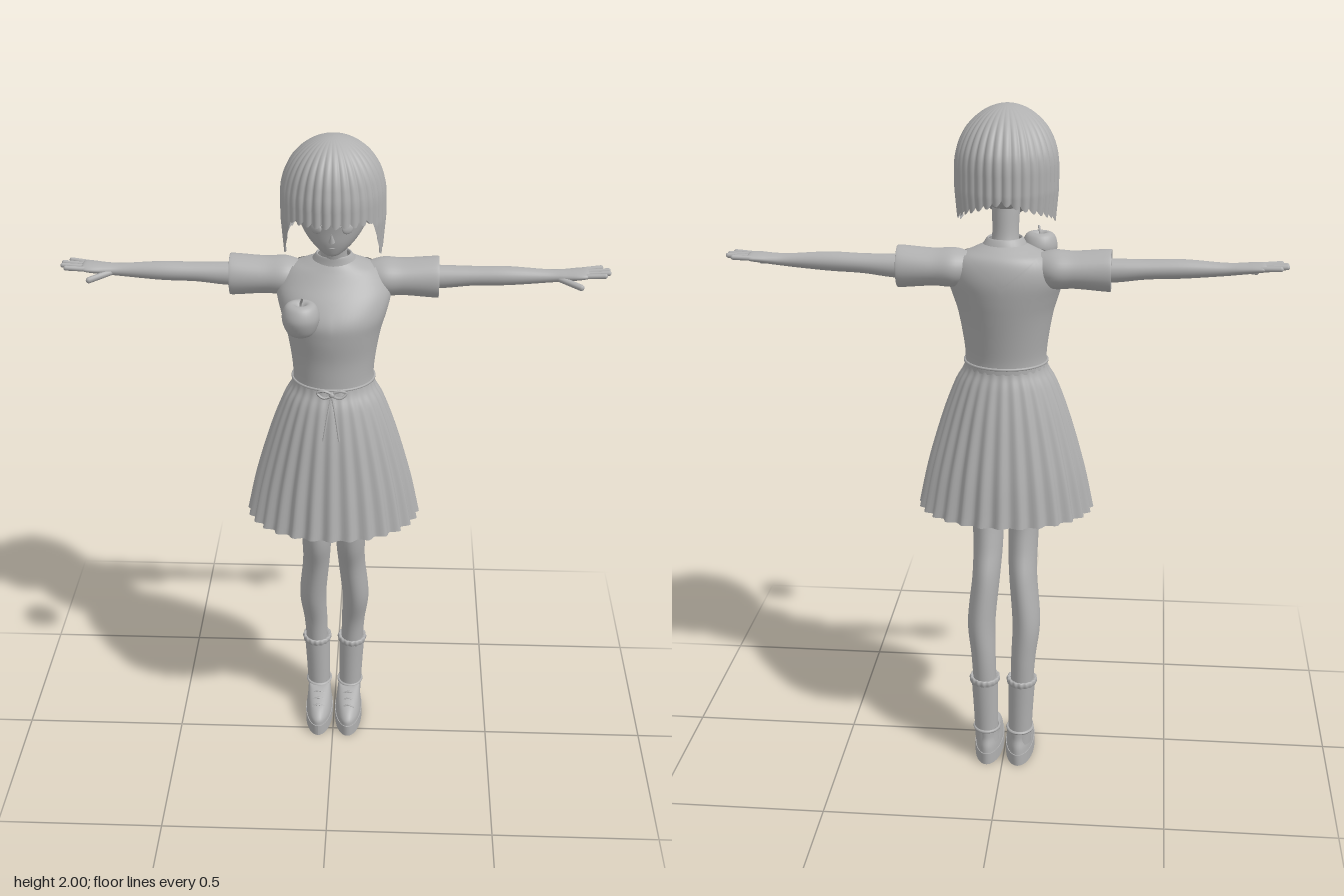
import * as THREE from 'three';

const grey = new THREE.MeshStandardMaterial({ color: 0xb0b0b0, side: THREE.DoubleSide });
grey.name = 'clay grey';
const V = (x, y, z) => new THREE.Vector3(x, y, z);

// Closed-around surface from a point rule: angle 0 faces +z, v runs from bottom to top.
function surface(fn, nu, nv) {
  const pos = [], idx = [];
  for (let j = 0; j <= nv; j++)
    for (let i = 0; i < nu; i++) pos.push(...fn((i / nu) * Math.PI * 2, j / nv));
  for (let j = 0; j < nv; j++)
    for (let i = 0; i < nu; i++) {
      const a = j * nu + i, b = j * nu + ((i + 1) % nu);
      idx.push(a, b, b + nu, a, b + nu, a + nu);
    }
  const g = new THREE.BufferGeometry();
  g.setAttribute('position', new THREE.Float32BufferAttribute(pos, 3));
  g.setIndex(idx);
  g.computeVertexNormals();
  return g;
}

// Smooth sampling of rows [y, cx, cz, rx, rz]
function sampler(rows) {
  const a = new THREE.CatmullRomCurve3(rows.map(r => V(r[0], r[1], r[2])), false, 'catmullrom', 0.5);
  const b = new THREE.CatmullRomCurve3(rows.map(r => V(r[3], r[4], 0)), false, 'catmullrom', 0.5);
  return v => {
    const p = a.getPoint(v), r = b.getPoint(v);
    return [p.x, p.y, p.z, Math.max(r.x, 0.0005), Math.max(r.y, 0.0005)];
  };
}

function loft(rows, nu = 32, nv = 32, scale = () => 1) {
  const at = sampler(rows);
  return surface((t, v) => {
    const [y, cx, cz, rx, rz] = at(v), s = scale(t, v);
    return [cx + rx * s * Math.sin(t), y, cz + rz * s * Math.cos(t)];
  }, nu, nv);
}

// Loft along +x; rows are [x, y, z, ry, rz]
const loftX = (rows, nu, nv) => loft(rows.map(r => [r[0], -r[1], r[2], r[3], r[4]]), nu, nv).rotateZ(-Math.PI / 2);

function mirror(geo) {
  const g = geo.clone().scale(-1, 1, 1), ix = g.index;
  for (let i = 0; i < ix.count; i += 3) {
    const b = ix.getX(i + 1);
    ix.setX(i + 1, ix.getX(i + 2));
    ix.setX(i + 2, b);
  }
  g.computeVertexNormals();
  return g;
}

// Capsule between two points
function bar(a, b, r) {
  const d = b.clone().sub(a), m = a.clone().add(b).multiplyScalar(0.5);
  const q = new THREE.Quaternion().setFromUnitVectors(V(0, 1, 0), d.clone().normalize());
  return new THREE.CapsuleGeometry(r, d.length(), 4, 10).applyQuaternion(q).translate(m.x, m.y, m.z);
}

const cord = (pts, r, closed = false) =>
  new THREE.TubeGeometry(new THREE.CatmullRomCurve3(pts, closed), closed ? 64 : 16, r, 6, closed);

export function createModel() {
  const model = new THREE.Group();
  const add = (name, g) => {
    const m = new THREE.Mesh(g, grey);
    m.name = name;
    model.add(m);
  };
  const pair = (name, g) => {
    add('left ' + name, g);
    add('right ' + name, mirror(g));
  };

  // Head, neck and face
  add('head', loft([[1.672, 0, 0.045, 0.001, 0.001], [1.676, 0, 0.042, 0.018, 0.018], [1.69, 0, 0.03, 0.04, 0.038],
    [1.715, 0, 0.01, 0.067, 0.066], [1.75, 0, -0.008, 0.09, 0.09], [1.8, 0, -0.02, 0.104, 0.112],
    [1.87, 0, -0.02, 0.106, 0.118], [1.94, 0, -0.02, 0.07, 0.08], [1.965, 0, -0.02, 0.001, 0.001]], 40, 48));
  add('neck', loft([[1.53, 0, -0.08, 0.06, 0.05], [1.59, 0, -0.075, 0.047, 0.044], [1.64, 0, -0.06, 0.038, 0.04],
    [1.72, 0, -0.045, 0.04, 0.045]], 28, 20));
  add('nose', new THREE.ConeGeometry(0.009, 0.03, 12).rotateX(0.35).translate(0, 1.738, 0.084));
  add('mouth', cord([V(-0.016, 1.706, 0.068), V(0, 1.703, 0.073), V(0.016, 1.706, 0.068)], 0.002));
  pair('eyelid', cord([V(0.022, 1.768, 0.083), V(0.042, 1.78, 0.078), V(0.066, 1.768, 0.064)], 0.003));
  pair('eye', new THREE.SphereGeometry(1, 20, 12).scale(0.017, 0.016, 0.006).rotateY(0.5).translate(0.043, 1.762, 0.074));
  pair('ear', new THREE.SphereGeometry(1, 16, 12).scale(0.012, 0.03, 0.02).translate(0.1, 1.77, -0.03));

  // Bob hair: ridged dome with a stepped lower edge
  const locks = 34;
  const hairEdge = t => {
    const a = Math.abs(THREE.MathUtils.radToDeg(t > Math.PI ? t - 2 * Math.PI : t));
    if (a < 50) return 1.795;
    if (a < 74) return THREE.MathUtils.lerp(1.79, 1.675, (a - 50) / 24);
    return THREE.MathUtils.lerp(1.675, 1.762, (a - 74) / 106);
  };
  add('hair', surface((t, v) => {
    const lock = Math.abs(Math.sin(t * locks / 2)), w = 1 - v, mid = 1.83;
    const edge = hairEdge(t) - 0.012 * lock;
    let y, r;
    if (w < 0.6) {
      const e = (w / 0.6) * Math.PI / 2;
      y = mid + 0.17 * Math.cos(e);
      r = Math.sin(e);
    } else {
      y = THREE.MathUtils.lerp(mid, edge, (w - 0.6) / 0.4);
      r = 1 - 1.2 * Math.max(0, mid - y - 0.06) * 0.5;
    }
    r *= 0.965 + 0.04 * lock * Math.min(1, w * 3);
    return [0.147 * r * Math.sin(t), y, -0.022 * Math.min(1, w * 2) + 0.168 * r * Math.cos(t)];
  }, locks * 8, 36));

  // Blouse torso
  const torsoRows = [[1.25, 0, -0.04, 0.115, 0.105], [1.29, 0, -0.041, 0.113, 0.106], [1.35, 0, -0.045, 0.12, 0.112],
    [1.42, 0, -0.047, 0.133, 0.124], [1.47, 0, -0.052, 0.148, 0.129], [1.52, 0, -0.07, 0.16, 0.118],
    [1.56, 0, -0.085, 0.152, 0.1], [1.59, 0, -0.09, 0.128, 0.084], [1.608, 0, -0.085, 0.09, 0.068],
    [1.622, 0, -0.078, 0.058, 0.052]];
  add('blouse', loft(torsoRows, 48, 48));
  add('collar', loft([[1.595, 0, -0.08, 0.075, 0.062], [1.62, 0, -0.077, 0.062, 0.056], [1.638, 0, -0.072, 0.05, 0.05],
    [1.634, 0, -0.072, 0.046, 0.046]], 32, 12));

  // Pinafore bodice: thin shell with a V neckline front and back
  const torso = sampler(torsoRows);
  add('pinafore bodice', surface((t, v) => {
    const top = 0.55 + 0.26 * Math.min(1, Math.abs(Math.sin(t)) / 0.75);
    const [y, cx, cz, rx, rz] = torso(v * top);
    return [cx + (rx + 0.005) * Math.sin(t), y, cz + (rz + 0.005) * Math.cos(t)];
  }, 64, 32));

  // Pleated skirt
  add('pleated skirt', loft([[0.812, 0, -0.04, 0.254, 0.198], [0.95, 0, -0.04, 0.226, 0.18], [1.1, 0, -0.037, 0.184, 0.154],
    [1.2, 0, -0.036, 0.148, 0.13], [1.245, 0, -0.038, 0.124, 0.113], [1.272, 0, -0.04, 0.117, 0.109]], 224, 28,
  (t, v) => 1 + 0.033 * Math.pow(1 - v, 0.8) * Math.cos(28 * t)));
  add('hips', loft([[0.98, 0, -0.04, 0.02, 0.02], [1.0, 0, -0.04, 0.09, 0.075], [1.08, 0, -0.04, 0.125, 0.105],
    [1.26, 0, -0.04, 0.108, 0.1]], 32, 16));

  // Waist cord with bow
  const belt = [];
  for (let i = 0; i < 24; i++) {
    const t = (i / 24) * Math.PI * 2;
    belt.push(V(0.12 * Math.sin(t), 1.268, -0.04 + 0.112 * Math.cos(t)));
  }
  add('waist cord', cord(belt, 0.004, true));
  add('bow knot', new THREE.SphereGeometry(0.009, 12, 8).translate(0, 1.258, 0.08));
  pair('bow loop', cord([V(0, 1.258, 0.08), V(0.022, 1.271, 0.082), V(0.042, 1.262, 0.076), V(0.024, 1.249, 0.083)], 0.004, true));
  pair('bow tail', cord([V(0, 1.258, 0.08), V(0.01, 1.21, 0.1), V(0.023, 1.13, 0.122)], 0.003));

  // Sleeves with a turned-in opening, arms and hands
  pair('sleeve', loftX([[0.09, 1.557, -0.1, 0.04, 0.045], [0.14, 1.555, -0.103, 0.055, 0.066], [0.2, 1.555, -0.104, 0.053, 0.062],
    [0.292, 1.555, -0.104, 0.06, 0.06], [0.295, 1.555, -0.104, 0.056, 0.056], [0.25, 1.555, -0.104, 0.05, 0.053]], 32, 30));
  pair('arm', loftX([[0.14, 1.553, -0.105, 0.036, 0.038], [0.3, 1.555, -0.105, 0.034, 0.034], [0.4, 1.56, -0.103, 0.028, 0.031],
    [0.5, 1.563, -0.1, 0.027, 0.03], [0.61, 1.564, -0.1, 0.019, 0.023], [0.66, 1.567, -0.1, 0.016, 0.028],
    [0.7, 1.571, -0.1, 0.014, 0.036], [0.725, 1.573, -0.102, 0.011, 0.036], [0.735, 1.574, -0.102, 0.001, 0.02]], 24, 36));
  [[-0.129, -0.137, 0.768], [-0.111, -0.115, 0.787], [-0.093, -0.093, 0.787], [-0.075, -0.071, 0.774]].forEach(([z0, z1, x], i) =>
    pair('finger ' + (i + 1), bar(V(0.715, 1.573, z0), V(x, 1.577, z1), 0.0075)));
  pair('thumb', bar(V(0.648, 1.562, -0.082), V(0.706, 1.548, -0.053), 0.0095));

  // Legs
  pair('leg', loft([[0.24, 0.056, -0.14, 0.034, 0.038], [0.35, 0.061, -0.135, 0.037, 0.048], [0.46, 0.068, -0.115, 0.042, 0.065],
    [0.6, 0.056, -0.088, 0.042, 0.074], [0.7, 0.053, -0.055, 0.045, 0.077], [0.81, 0.057, -0.04, 0.047, 0.076],
    [1.0, 0.06, -0.038, 0.057, 0.085], [1.12, 0.058, -0.04, 0.05, 0.07]], 28, 40));

  // Socks and shoes
  pair('sock', loft([[0.06, 0.05, -0.14, 0.036, 0.042], [0.1, 0.052, -0.14, 0.036, 0.041], [0.18, 0.054, -0.14, 0.038, 0.043],
    [0.275, 0.057, -0.14, 0.041, 0.046]], 28, 16));
  pair('sock frill', loft([[0.262, 0.057, -0.14, 0.043, 0.048], [0.272, 0.057, -0.14, 0.046, 0.051],
    [0.281, 0.057, -0.14, 0.043, 0.048], [0.278, 0.057, -0.14, 0.034, 0.039]], 96, 8, t => 1 + 0.03 * Math.cos(16 * t)));
  pair('sole', new THREE.CylinderGeometry(1, 1, 0.036, 40).scale(0.044, 1, 0.12).translate(0.048, 0.018, -0.08));
  pair('shoe', loft([[0.035, 0.048, -0.08, 0.042, 0.117], [0.055, 0.048, -0.081, 0.041, 0.113], [0.078, 0.048, -0.092, 0.038, 0.094],
    [0.098, 0.049, -0.118, 0.036, 0.066], [0.105, 0.05, -0.135, 0.034, 0.048], [0.1, 0.05, -0.14, 0.02, 0.03]], 36, 24));
  pair('ankle band', new THREE.TorusGeometry(1, 0.11, 8, 32).rotateX(Math.PI / 2).scale(0.038, 0.045, 0.045).translate(0.051, 0.105, -0.139));
  for (let i = 0; i < 3; i++) {
    const y = 0.081 + i * 0.009, z = -0.012 - i * 0.025;
    pair('lace ' + (i + 1), cord([V(0.03, y - 0.004, z), V(0.049, y + 0.004, z), V(0.068, y - 0.004, z)], 0.003));
  }

  // Floating apple
  add('apple', loft([[1.507, -0.08, 0.198, 0.002, 0.002], [1.497, -0.08, 0.198, 0.02, 0.02], [1.512, -0.08, 0.198, 0.04, 0.04],
    [1.55, -0.08, 0.198, 0.052, 0.054], [1.583, -0.08, 0.198, 0.043, 0.043], [1.591, -0.08, 0.198, 0.022, 0.022],
    [1.573, -0.08, 0.198, 0.002, 0.002]], 32, 36));
  add('apple stem', cord([V(-0.08, 1.57, 0.198), V(-0.079, 1.592, 0.201), V(-0.075, 1.608, 0.212)], 0.0035));
  return model;
}
